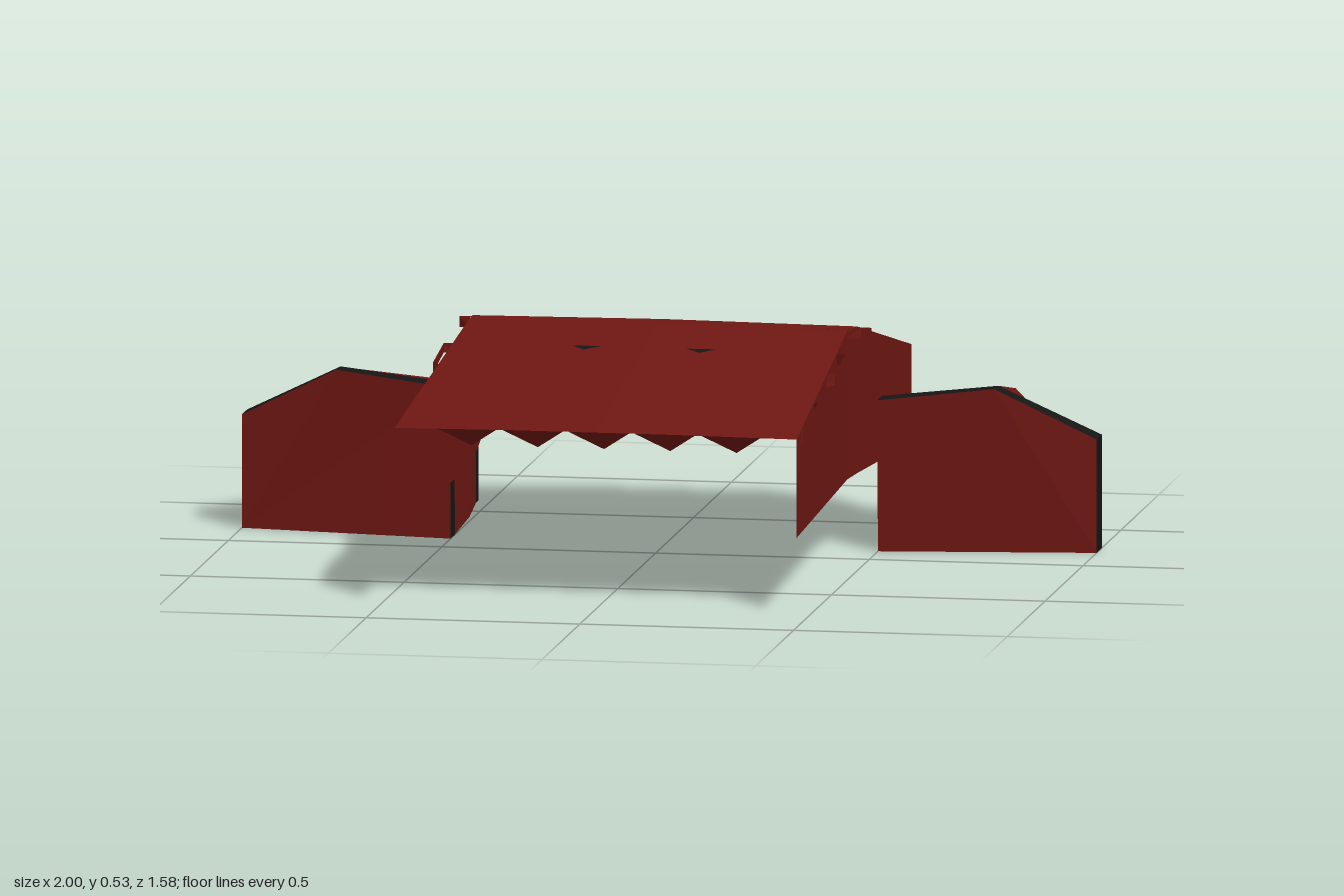
import * as THREE from 'three';

const mat = (color) => new THREE.MeshStandardMaterial({ color, flatShading: true, side: THREE.DoubleSide });
const RED = mat(0x6e1712), BLACK = mat(0x161616), STEEL = mat(0x85858f);

function surface(name, triangles, material) {
  const g = new THREE.BufferGeometry();
  g.setAttribute('position', new THREE.Float32BufferAttribute(triangles.flat(2), 3));
  g.computeVertexNormals();
  const mesh = new THREE.Mesh(g, material);
  mesh.name = name;
  return mesh;
}

// Triangles joining consecutive cross-sections of equal length
function loft(...sections) {
  const t = [];
  for (let s = 0; s + 1 < sections.length; s++) {
    const a = sections[s], b = sections[s + 1];
    for (let i = 0; i + 1 < a.length; i++) t.push([a[i], a[i + 1], b[i + 1]], [a[i], b[i + 1], b[i]]);
  }
  return t;
}

// Flat or nearly flat polygon
const fan = (p) => p.slice(1, -1).map((q, i) => [p[0], q, p[i + 2]]);

// Chest profile: z, half width, height of the top
const CHEST = [[0.79, 0.47, 0.41], [-0.03, 0.443, 0.527], [-0.12, 0.45, 0.523], [-0.56, 0.5, 0.41]];

function chestAt(z) {
  let i = 0;
  while (i < CHEST.length - 2 && z < CHEST[i + 1][0]) i++;
  const [a, b] = [CHEST[i], CHEST[i + 1]];
  const t = (z - a[0]) / (b[0] - a[0]);
  return { w: a[1] + t * (b[1] - a[1]), y: a[2] + t * (b[2] - a[2]) };
}

function createChest() {
  const chest = new THREE.Group();
  chest.name = 'chestShell';
  chest.add(surface('shell', loft(...CHEST.map(([z, w, y]) =>
    [[-w, 0.18, z], [-w, y, z], [0, y + 0.004, z], [w, y, z], [w, 0.18, z]])), RED));

  // Sloping collar between the two pointed flaps
  chest.add(surface('collar', loft(
    [[-0.5, 0.41, -0.56], [0, 0.414, -0.56], [0.5, 0.41, -0.56]],
    [[-0.2, 0.33, -0.68], [0, 0.33, -0.68], [0.2, 0.33, -0.68]]), RED));

  // Quilted studs lining the inside
  const stud = new THREE.ConeGeometry(0.1, 0.05, 4, 1, true).rotateY(Math.PI / 4).rotateX(Math.PI);
  for (let row = 0; row < 9; row++) {
    for (let col = -2; col <= 2; col++) {
      const z = 0.68 - row * 0.145;
      const m = new THREE.Mesh(stud, RED);
      m.name = 'liningStud';
      m.position.set(col * 0.155, chestAt(z).y - 0.045, z);
      chest.add(m);
    }
  }

  // Small stitched chevrons on the collar
  for (const x of [-0.35, -0.12, 0.12, 0.35]) {
    const w = 0.06, lift = 0.006;
    chest.add(surface('collarChevron', [[[x - w, 0.373, -0.62], [x + w, 0.373, -0.62], [x, 0.384 + lift, -0.6]]], RED));
  }
  return chest;
}

// Parts of the chest that appear on both sides
function createChestSide() {
  const side = new THREE.Group();
  side.name = 'chestSide';
  side.add(surface('backFlap', fan([[0.5, 0.41, -0.56], [0.5, 0.18, -0.56], [0.2, 0.18, -0.79], [0.2, 0.33, -0.68]]), RED));

  // Lining folds showing past the top edge
  for (const [z0, z1] of [[0.72, 0.5], [0.3, 0.13]]) {
    const a = chestAt(z0), b = chestAt(z1), d = 0.015;
    side.add(surface('edgeFold', loft(
      [[a.w - 0.01, a.y - 0.005, z0], [a.w, a.y - 0.03, z0]],
      [[0.47, a.y, z0 - d], [0.47, a.y - 0.025, z0 - d]],
      [[0.47, b.y - 0.003, z1 + d], [0.47, b.y - 0.025, z1 + d]],
      [[b.w - 0.01, b.y - 0.005, z1], [b.w, b.y - 0.03, z1]]), RED));
  }

  // Shoulder tab at the highest point
  side.add(surface('shoulderTab', [
    ...fan([[0.35, 0.53, -0.02], [0.47, 0.53, -0.06], [0.47, 0.507, -0.2], [0.42, 0.515, -0.16]]),
    ...fan([[0.44, 0.51, -0.03], [0.47, 0.505, -0.06], [0.47, 0.53, -0.06]]),
    ...fan([[0.47, 0.505, -0.06], [0.47, 0.49, -0.2], [0.47, 0.507, -0.2], [0.47, 0.53, -0.06]]),
  ], RED));

  // Dark notch in the front plate
  const y = chestAt(0.17).y + 0.008;
  side.add(surface('notch', [[[0.1, y, 0.155], [0.135, y - 0.003, 0.19], [0.17, y, 0.155]]], BLACK));
  return side;
}

function createShoulderPad() {
  const pad = new THREE.Group();
  pad.name = 'shoulderPad';
  const front = [[0.5, 0, -0.115], [0.5, 0.355, -0.1], [0.77, 0.385, -0.125], [1, 0.265, -0.18], [1, 0, -0.18]];
  const band = [[0.5, 0, -0.17], [0.5, 0.355, -0.165], [0.77, 0.383, -0.185], [1, 0.265, -0.25], [1, 0, -0.25]];
  const middle = [[0.51, 0, -0.42], [0.51, 0.32, -0.39], [0.77, 0.34, -0.41], [0.89, 0.17, -0.54], [0.89, 0, -0.56]];
  const rear = [[0.53, 0, -0.62], [0.53, 0.2, -0.62], [0.74, 0.19, -0.63]];
  const back = [[0.53, 0, -0.65], [0.53, 0.17, -0.65], [0.74, 0.17, -0.65], [0.74, 0, -0.65]];

  pad.add(surface('padFront', fan([...front].reverse()), RED));
  pad.add(surface('padBand', loft(front, band), BLACK));
  pad.add(surface('padShell', [
    ...loft(band, middle), ...loft(middle.slice(0, 3), rear), [middle[2], middle[3], rear[2]],
  ], RED));
  pad.add(surface('padBackTrim', [...loft(rear, back.slice(0, 3)), ...fan(back)], BLACK));

  // Pointed spike on the outer back corner
  const tip = [0.91, 0.09, -0.76];
  const base = [rear[2], middle[3], middle[4], back[3]];
  pad.add(surface('spike', base.map((p, i) => [p, base[(i + 1) % 4], tip]), STEEL));
  return pad;
}

export function createModel() {
  const model = new THREE.Group();
  model.name = 'bodyArmour';
  model.add(createChest());
  for (const s of [1, -1]) {
    const half = new THREE.Group();
    half.name = s > 0 ? 'leftSide' : 'rightSide';
    half.add(createChestSide(), createShoulderPad());
    half.scale.x = s;
    model.add(half);
  }
  return model;
}
